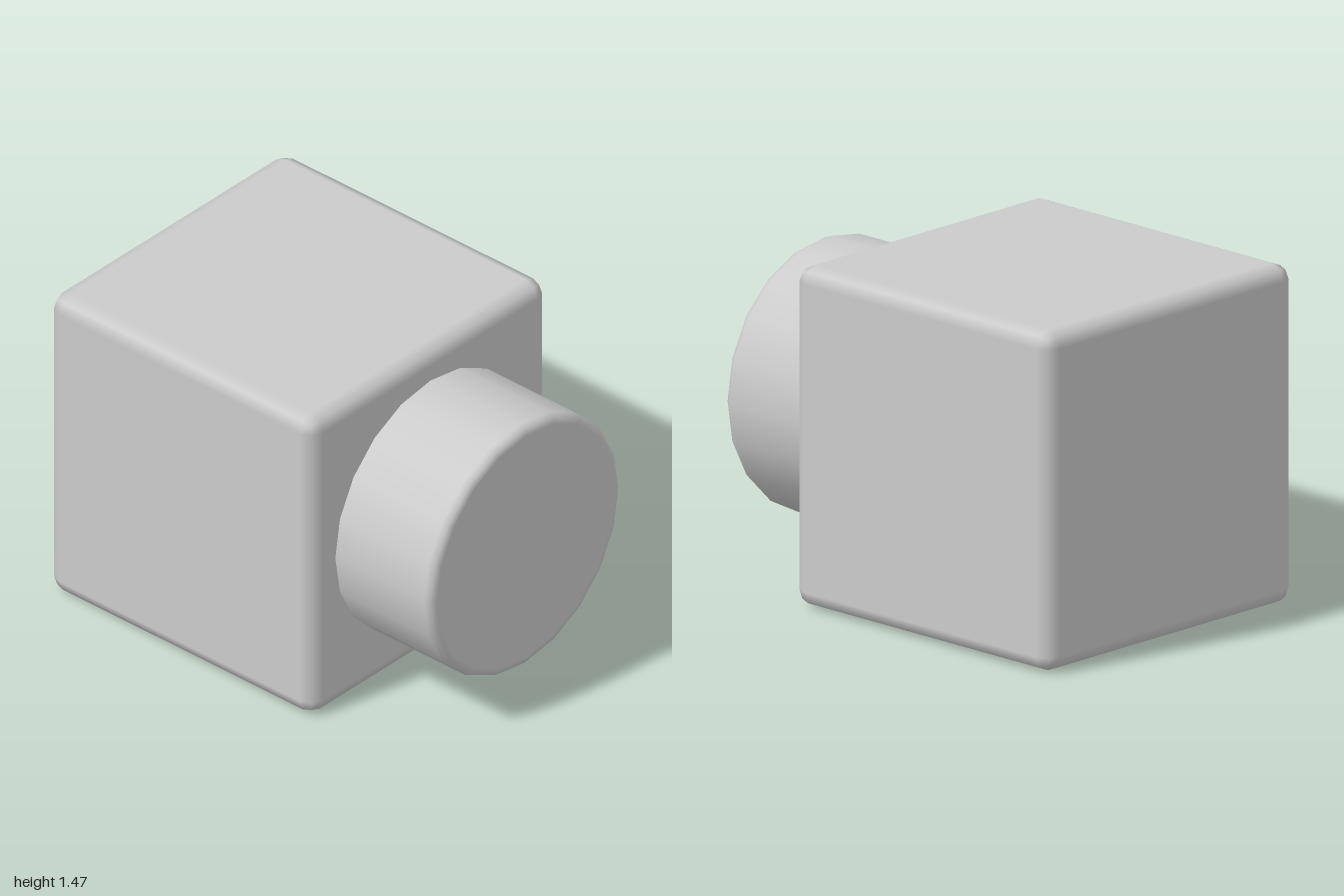
import * as THREE from 'three';
import { RoundedBoxGeometry } from 'three/addons/geometries/RoundedBoxGeometry.js';

export function createModel() {
  const group = new THREE.Group();
  const material = new THREE.MeshStandardMaterial({ color: 0xcccccc });
  const size = 1.47;

  // Cube body with a narrow rounded bevel
  const body = new THREE.Mesh(new RoundedBoxGeometry(size, size, size, 1, 0.07), material);
  body.name = 'body';
  body.position.set(0, size / 2, -0.265);
  group.add(body);

  // Twenty-sided barrel with a softened front rim, its root sunk into the body
  const profile = [
    [0.59, 0.4], [0.59, 0.96], [0.59, 0.97], [0.581, 0.991],
    [0.56, 1], [0.55, 1], [0, 1],
  ].map(([r, h]) => new THREE.Vector2(r, h));
  const barrel = new THREE.Mesh(new THREE.LatheGeometry(profile, 20).rotateX(Math.PI / 2), material);
  barrel.name = 'barrel';
  barrel.position.y = 0.74;
  group.add(barrel);

  return group;
}
